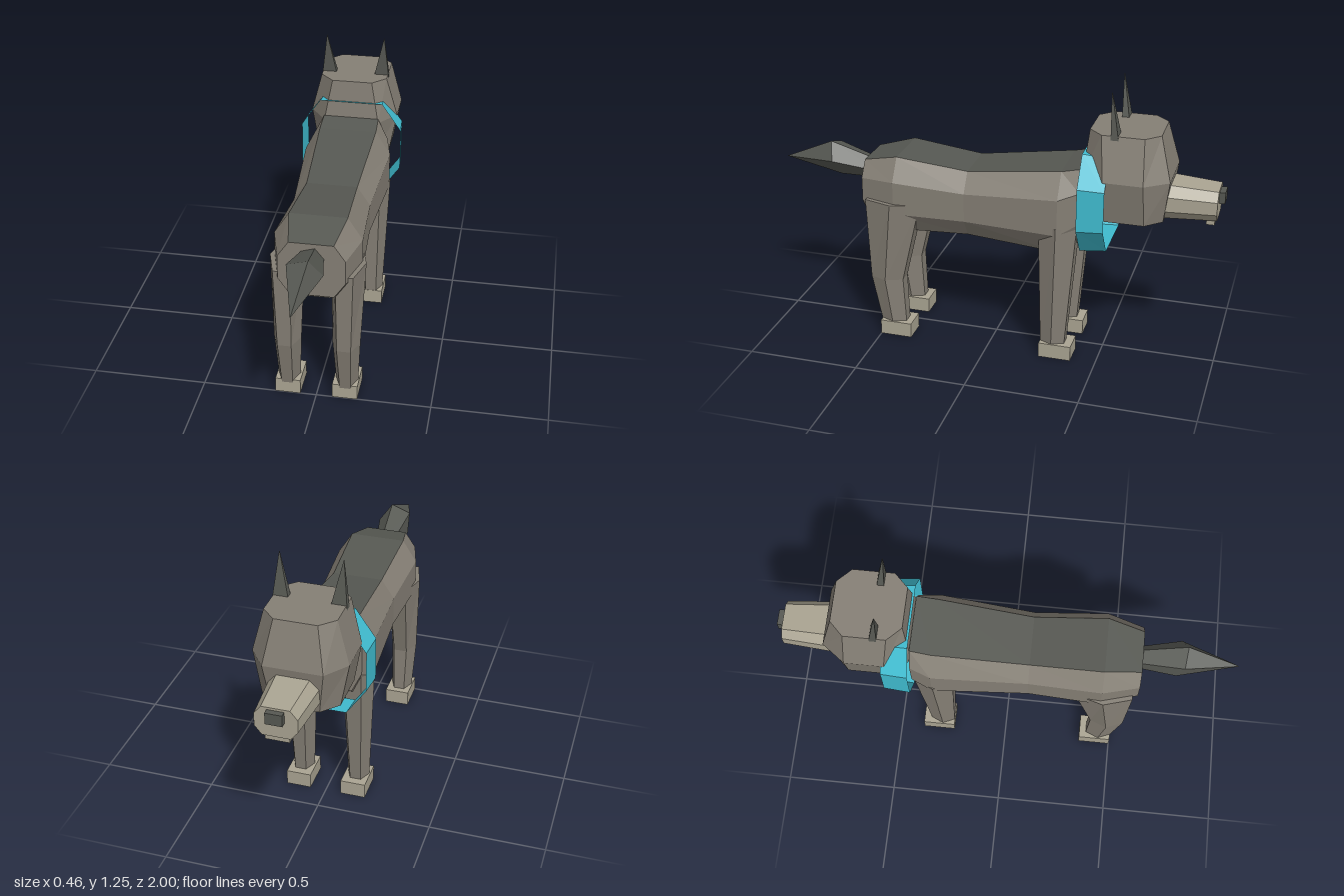
import * as THREE from 'three';

const mat = (name, color, extra = {}) => {
  const m = new THREE.MeshStandardMaterial({ color, flatShading: true, ...extra });
  m.name = name;
  return m;
};

// Joins rings of equal point count, side by side, so side 0 comes first in the buffer.
function loft(rings, capped = true) {
  const n = rings[0].length, tris = [];
  for (let i = 0; i < n; i++) {
    const j = (i + 1) % n;
    for (let r = 0; r < rings.length - 1; r++) {
      const a = rings[r], b = rings[r + 1];
      tris.push([a[i], a[j], b[j]], [a[i], b[j], b[i]]);
    }
  }
  if (capped) {
    const a = rings[0], b = rings[rings.length - 1];
    for (let i = 1; i < n - 1; i++) tris.push([a[0], a[i + 1], a[i]], [b[0], b[i], b[i + 1]]);
  }
  // Turn every face outward, judged by the signed volume
  let volume = 0;
  for (const [a, b, c] of tris) volume += a.dot(b.clone().cross(c));
  const pos = [];
  for (const [a, b, c] of tris) for (const p of volume < 0 ? [a, c, b] : [a, b, c]) pos.push(p.x, p.y, p.z);
  const g = new THREE.BufferGeometry();
  g.setAttribute('position', new THREE.Float32BufferAttribute(pos, 3));
  g.computeVertexNormals();
  return g;
}

const V = (x, y, z) => new THREE.Vector3(x, y, z);

// Upright octagon at depth z; its first side is the top
function octagon(z, w, top, bottom, flat = 0.66) {
  const c = (top + bottom) / 2, h = (top - bottom) / 2;
  return [[-flat, 1], [flat, 1], [1, 0.43], [1, -0.43], [flat, -1], [-flat, -1], [-1, -0.43], [-1, 0.43]]
    .map(([u, v]) => V(u * w, c + v * h, z));
}

// Level octagon at height y, for the head
function headRing(y, w, zBack, zFront, flat, corner) {
  return [[-flat, zBack], [flat, zBack], [w, zBack - corner], [w, zFront + corner],
    [flat, zFront], [-flat, zFront], [-w, zFront + corner], [-w, zBack - corner]]
    .map(([x, z]) => V(x, y, z));
}

// Level hexagon for the legs
function legRing(y, x, w, z0, z1) {
  const c = (z0 + z1) / 2;
  return [[w, c], [w / 2, z1], [-w / 2, z1], [-w, c], [-w / 2, z0], [w / 2, z0]]
    .map(([dx, z]) => V(x + dx, y, z));
}

// Leaning pentagon for the tail
function tailRing(z, y, r, lean) {
  return Array.from({ length: 5 }, (_, i) => {
    const a = (i * 2 * Math.PI) / 5, dy = Math.sin(a) * r;
    return V(Math.cos(a) * r, y + dy, z + dy * lean);
  });
}

export function createModel() {
  const model = new THREE.Group();
  const fur = mat('grey fur', 0x857f75);
  const dark = mat('dark fur', 0x565852);
  const pale = mat('pale fur', 0xaaa492);
  const blue = mat('collar blue', 0x40bcd0, { side: THREE.DoubleSide });

  const add = (name, geometry, material) => {
    const mesh = new THREE.Mesh(geometry, material);
    mesh.name = name;
    model.add(mesh);
    return mesh;
  };
  const box = (name, material, x, y, z, w, h, d) =>
    add(name, new THREE.BoxGeometry(w, h, d), material).position.set(x, y, z);

  // Body with a dark stripe along the back
  const sections = [
    octagon(0.58, 0.14, 0.82, 0.575),
    octagon(0.42, 0.185, 0.86, 0.515),
    octagon(0.1, 0.167, 0.825, 0.525),
    octagon(-0.32, 0.195, 0.88, 0.5),
    octagon(-0.41, 0.17, 0.9, 0.57, 0.74),
  ];
  const body = loft(sections);
  const stripe = (sections.length - 1) * 6;
  body.addGroup(0, stripe, 0);
  body.addGroup(stripe, body.attributes.position.count - stripe, 1);
  add('body', body, [dark, fur]);

  // Head, muzzle, jaw and nose, facing -z
  add('head', loft([
    headRing(0.69, 0.165, -0.43, -0.755, 0.1, 0.07),
    headRing(0.88, 0.2, -0.41, -0.78, 0.125, 0.1),
    headRing(1.07, 0.15, -0.43, -0.73, 0.09, 0.06),
  ]), fur);
  add('muzzle', loft([
    octagon(-0.72, 0.108, 0.85, 0.695),
    octagon(-0.975, 0.088, 0.835, 0.705),
  ]), pale);
  box('jaw', pale, 0, 0.7, -0.947, 0.1, 0.04, 0.035);
  box('nose', dark, 0, 0.8, -0.98, 0.07, 0.05, 0.04);

  // Loose open collar
  add('collar', loft([
    octagon(-0.41, 0.23, 0.975, 0.53, 0.62),
    octagon(-0.525, 0.222, 0.965, 0.54, 0.62),
  ], false), blue);

  // Tail
  add('tail', loft([
    tailRing(0.54, 0.748, 0.045, 0.2),
    tailRing(0.745, 0.785, 0.08, 0.3),
    tailRing(0.998, 0.755, 0.001, 0),
  ]), dark);

  // Ears, legs and feet on both sides
  for (const [side, s] of [['left', 1], ['right', -1]]) {
    const earRing = (y, x, w, z0, z1) =>
      [V(s * (x - w), y, z0), V(s * (x + w), y, z0), V(s * (x + w), y, z1), V(s * (x - w), y, z1)];
    add(side + 'Ear', loft([
      earRing(1.04, 0.119, 0.037, -0.53, -0.565),
      earRing(1.25, 0.131, 0.001, -0.524, -0.526),
    ]), dark);

    add(side + 'HindLeg', loft([
      legRing(0.66, s * 0.13, 0.073, 0.305, 0.557),
      legRing(0.28, s * 0.127, 0.06, 0.395, 0.545),
      legRing(0.05, s * 0.127, 0.048, 0.385, 0.5),
    ]), fur);
    add(side + 'FrontLeg', loft([
      legRing(0.64, s * 0.127, 0.073, -0.4, -0.232),
      legRing(0.05, s * 0.127, 0.048, -0.353, -0.246),
    ]), fur);
    box(side + 'HindFoot', pale, s * 0.125, 0.034, 0.428, 0.11, 0.068, 0.145);
    box(side + 'FrontFoot', pale, s * 0.125, 0.034, -0.317, 0.11, 0.068, 0.145);
  }
  return model;
}
